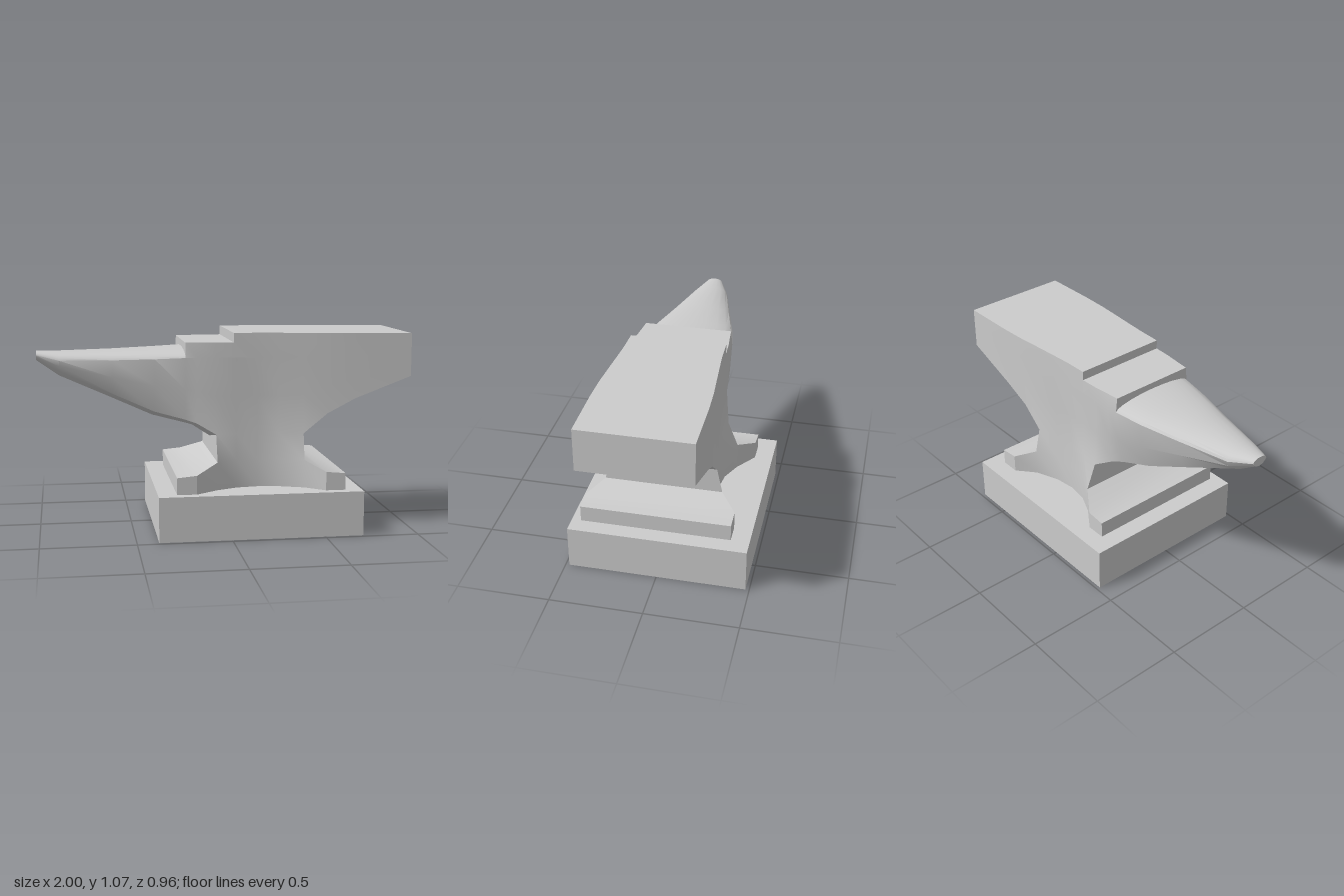
import * as THREE from 'three';
import { mergeGeometries, toCreasedNormals } from 'three/addons/utils/BufferGeometryUtils.js';

const material = new THREE.MeshStandardMaterial({ color: 0xcccccc, side: THREE.DoubleSide });

// Surface through rows of [x, y, z] points
function loft(rows) {
  const n = rows[0].length, index = [];
  for (let i = 0; i < rows.length - 1; i++) {
    for (let j = 0; j < n - 1; j++) {
      const a = i * n + j, b = a + n;
      index.push(a, a + 1, b + 1, a, b + 1, b);
    }
  }
  const g = new THREE.BufferGeometry();
  g.setAttribute('position', new THREE.Float32BufferAttribute(rows.flat(2), 3));
  g.setIndex(index);
  return g.toNonIndexed();
}
const quad = (a, b, c, d) => loft([[a, b], [d, c]]);

function part(name, pieces, crease = 0.6) {
  const mesh = new THREE.Mesh(toCreasedNormals(mergeGeometries(pieces), crease), material);
  mesh.name = name;
  return mesh;
}

// Lower hull section: from the +z edge, under the belly, to the -z edge
// s = [x, bottom centre y, lower edge y, lower half width, middle half width, upper edge y, upper half width]
function under([x, yc, yb, wb, wm, yt, wt]) {
  const ym = yb + (yt - yb) * 0.5;
  return [[x, yt, wt], [x, ym, wm], [x, yb, wb], [x, yc, 0],
    [x, yb, -wb], [x, ym, -wm], [x, yt, -wt]];
}

// Rounded top of the horn, from -z to +z
function arch(x, y, w, h) {
  return Array.from({ length: 11 }, (_, i) => {
    const a = Math.PI * (1 - i / 10);
    return [x, y + h * Math.sin(a), w * Math.cos(a)];
  });
}

export function createModel() {
  const group = new THREE.Group();
  group.name = 'anvil';

  const anvil = new THREE.Group();
  anvil.name = 'anvilBody';
  anvil.position.z = 0.025;
  group.add(anvil);

  const body = [];

  // Horn: belly sections running back to the waist, with the arched top
  const horn = [
    [-1, 0.915, 0.922, 0.025, 0.038, 0.945, 0.045],
    [-0.88, 0.83, 0.86, 0.06, 0.09, 0.92, 0.1],
    [-0.6, 0.705, 0.74, 0.115, 0.155, 0.925, 0.168],
    [-0.38, 0.605, 0.645, 0.155, 0.208, 0.933, 0.222],
    [-0.22, 0.562, 0.605, 0.2, 0.238, 0.94, 0.248],
    [-0.16, 0.545, 0.587, 0.225, 0.244, 0.94, 0.252],
    [-0.06, 0.48, 0.53, 0.265, 0.252, 0.94, 0.257],
  ];
  body.push(loft(horn.map(under)));
  const hornTop = horn.slice(0, 5).map((s, i) => arch(s[0], s[5], s[6], i ? 0.045 : 0.022));
  body.push(loft(hornTop));
  const tip = [...under(horn[0]), ...hornTop[0]];
  body.push(loft([tip.map(() => [-1, 0.94, 0]), tip]));

  // Heel: underside sweeping out to the square end
  const heel = [
    [0.41, 0.53, 0.53, 0.29, 0.277, 0.94, 0.28],
    [0.54, 0.635, 0.635, 0.287, 0.287, 0.94, 0.29],
    [0.69, 0.715, 0.715, 0.295, 0.295, 0.94, 0.295],
    [0.995, 0.83, 0.83, 0.295, 0.295, 0.94, 0.295],
  ];
  body.push(loft(heel.map(under)));
  body.push(quad([0.995, 0.83, 0.295], [0.995, 0.83, -0.295], [0.995, 1.06, -0.295], [0.995, 1.06, 0.295]));

  // Waist: concave sides from the face down to the foot
  const waist = [
    [-0.06, 0.257, 0.252, 0.265, 0.32, 0.32],
    [0.05, 0.259, 0.253, 0.253, 0.268, 0.27],
    [0.165, 0.262, 0.256, 0.25, 0.255, 0.255],
    [0.28, 0.27, 0.262, 0.258, 0.268, 0.27],
    [0.41, 0.28, 0.277, 0.29, 0.32, 0.32],
  ];
  const levels = [0.94, 0.735, 0.53, 0.39, 0.24];
  const side = ([x, ...w]) => w.map((z, i) => [x, levels[i], z]);
  body.push(loft(waist.map(side)));
  body.push(loft(waist.map((s) => side(s).map(([x, y, z]) => [x, y, -z]).reverse())));
  body.push(quad([-0.06, 0.39, -0.32], [-0.06, 0.39, 0.32], [-0.06, 0.53, 0.265], [-0.06, 0.53, -0.265]));
  body.push(quad([0.41, 0.39, 0.32], [0.41, 0.39, -0.32], [0.41, 0.53, -0.29], [0.41, 0.53, 0.29]));

  // Feet: a flared wing at each end of the waist
  const wing = ([x, y, w]) => [[x, 0.24, -w], [x, y, -w], [x, y, w], [x, 0.24, w]];
  const leftWing = [[0.41, 0.39, 0.32], [0.51, 0.34, 0.405], [0.615, 0.33, 0.405]];
  const rightWing = [[-0.285, 0.33, 0.405], [-0.18, 0.34, 0.405], [-0.06, 0.39, 0.32]];
  for (const w of [leftWing, rightWing]) body.push(loft(w.map(wing)));
  body.push(quad(...wing(leftWing[2]).reverse()));
  body.push(quad(...wing(rightWing[0])));

  // Face and step: flat slab over the hull
  const face = [
    [-0.22, 1.02, 0.248, 0.24], [-0.16, 1.02, 0.252, 0.245], [-0.06, 1.02, 0.257, 0.255],
    [0.035, 1.02, 0.259, 0.259], [0.035, 1.07, 0.259, 0.259], [0.165, 1.07, 0.262, 0.262],
    [0.28, 1.069, 0.27, 0.27], [0.41, 1.068, 0.28, 0.28], [0.54, 1.066, 0.29, 0.29],
    [0.69, 1.064, 0.295, 0.295], [0.995, 1.06, 0.295, 0.295],
  ];
  const slab = ([x, y, w, t]) => [[x, 0.94, -w], [x, y, -t], [x, y, t], [x, 0.94, w]];
  body.push(loft(face.map(slab)));

  // Step end wall, cut to the curve of the horn
  const rim = hornTop[4];
  body.push(loft([rim.map((p) => [-0.22, 1.02, p[2] * 0.968]), rim]));
  anvil.add(part('anvilForm', body));

  // Plinth: open below, its top cut out around the foot
  const [x0, x1, d, h] = [-0.385, 0.705, 0.48, 0.24];
  const corners = [[x0, d], [x1, d], [x1, -d], [x0, -d], [x0, d]];
  const walls = loft([
    corners.map(([x, z]) => [x, 0, z]),
    corners.map(([x, z]) => [x, h, z]),
  ]);
  const top = new THREE.Shape(corners.slice(0, 4).map(([x, z]) => new THREE.Vector2(x, z)));
  const half = [
    ...rightWing.map(([x, , w]) => [x, w]),
    ...waist.slice(1, 4).map((s) => [s[0], s[5]]),
    ...leftWing.map(([x, , w]) => [x, w]),
  ];
  const outline = [...half, ...half.map(([x, z]) => [x, -z]).reverse()];
  top.holes.push(new THREE.Path(outline.map(([x, z]) => new THREE.Vector2(x, z - 0.025))));
  const lid = new THREE.ShapeGeometry(top).rotateX(-Math.PI / 2).translate(0, h, 0).toNonIndexed();
  lid.deleteAttribute('uv');
  lid.deleteAttribute('normal');
  group.add(part('plinth', [walls, lid], 0.3));

  return group;
}
